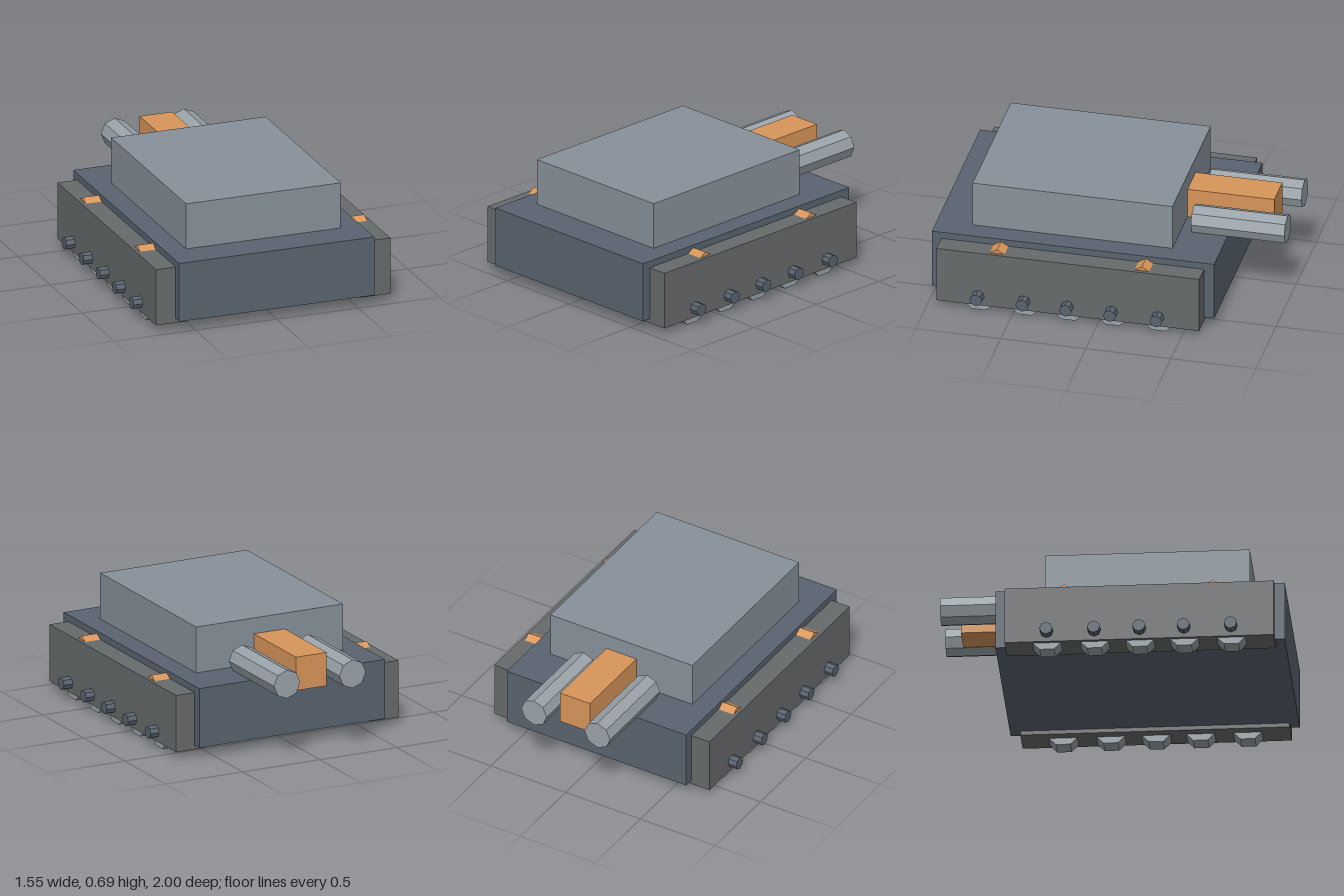
import * as THREE from 'three';

const paint = (color) => new THREE.MeshStandardMaterial({ color, flatShading: true });

export function createModel() {
  const model = new THREE.Group();
  const hullPaint = paint(0x59636f);
  const turretPaint = paint(0x87919a);
  const skirtPaint = paint(0x676a6b);
  const metal = paint(0x9aa3a9);
  const orange = paint(0xd8955a);

  function add(name, geometry, material, x, y, z) {
    const mesh = new THREE.Mesh(geometry, material);
    mesh.name = name;
    mesh.position.set(x, y, z);
    model.add(mesh);
    return mesh;
  }

  // Box given by its lower and upper limits on each axis
  function box(name, material, [x0, x1], [y0, y1], [z0, z1]) {
    return add(name, new THREE.BoxGeometry(x1 - x0, y1 - y0, z1 - z0), material,
      (x0 + x1) / 2, (y0 + y1) / 2, (z0 + z1) / 2);
  }

  // Faceted cylinder lying along x
  function axleCylinder(name, material, radius, sides, start, [x0, x1], y, z) {
    const geometry = new THREE.CylinderGeometry(radius, radius, x1 - x0, sides, 1, false, start);
    geometry.rotateZ(Math.PI / 2);
    return add(name, geometry, material, (x0 + x1) / 2, y, z);
  }

  // Body and turret
  box('hull', hullPaint, [-0.6, 0.6], [0.065, 0.42], [-0.66, 1]);
  box('turret', turretPaint, [-0.475, 0.475], [0.42, 0.695], [-0.385, 0.79]);
  box('gunMount', orange, [-0.1, 0.1], [0.4, 0.6], [-0.895, -0.385]);

  for (const [label, side] of [['left', 1], ['right', -1]]) {
    const span = (a, b) => (side > 0 ? [a, b] : [-b, -a]);

    // Twin octagonal barrels
    const barrel = new THREE.CylinderGeometry(0.085, 0.085, 0.55, 8);
    barrel.rotateX(Math.PI / 2);
    add(label + 'Barrel', barrel, metal, side * 0.212, 0.483, -0.725);

    // Side skirt
    box(label + 'Skirt', skirtPaint, span(0.535, 0.72), [0.04, 0.38], [-0.6, 0.945]);

    // Wheels under the skirt with hubs outside it
    for (const z of [0.7, 0.43, 0.175, -0.085, -0.358]) {
      axleCylinder(label + 'Wheel', metal, 0.108, 8, Math.PI / 8, span(0.592, 0.7), 0.1, z);
      axleCylinder(label + 'Hub', hullPaint, 0.037, 8, 0, span(0.7, 0.775), 0.1, z);
    }

    // Orange ridged lamps set in the skirt top
    for (const z of [0.593, -0.258]) {
      axleCylinder(label + 'Lamp', orange, 0.052, 6, Math.PI / 2, span(0.59, 0.698), 0.353, z);
    }
  }

  return model;
}
